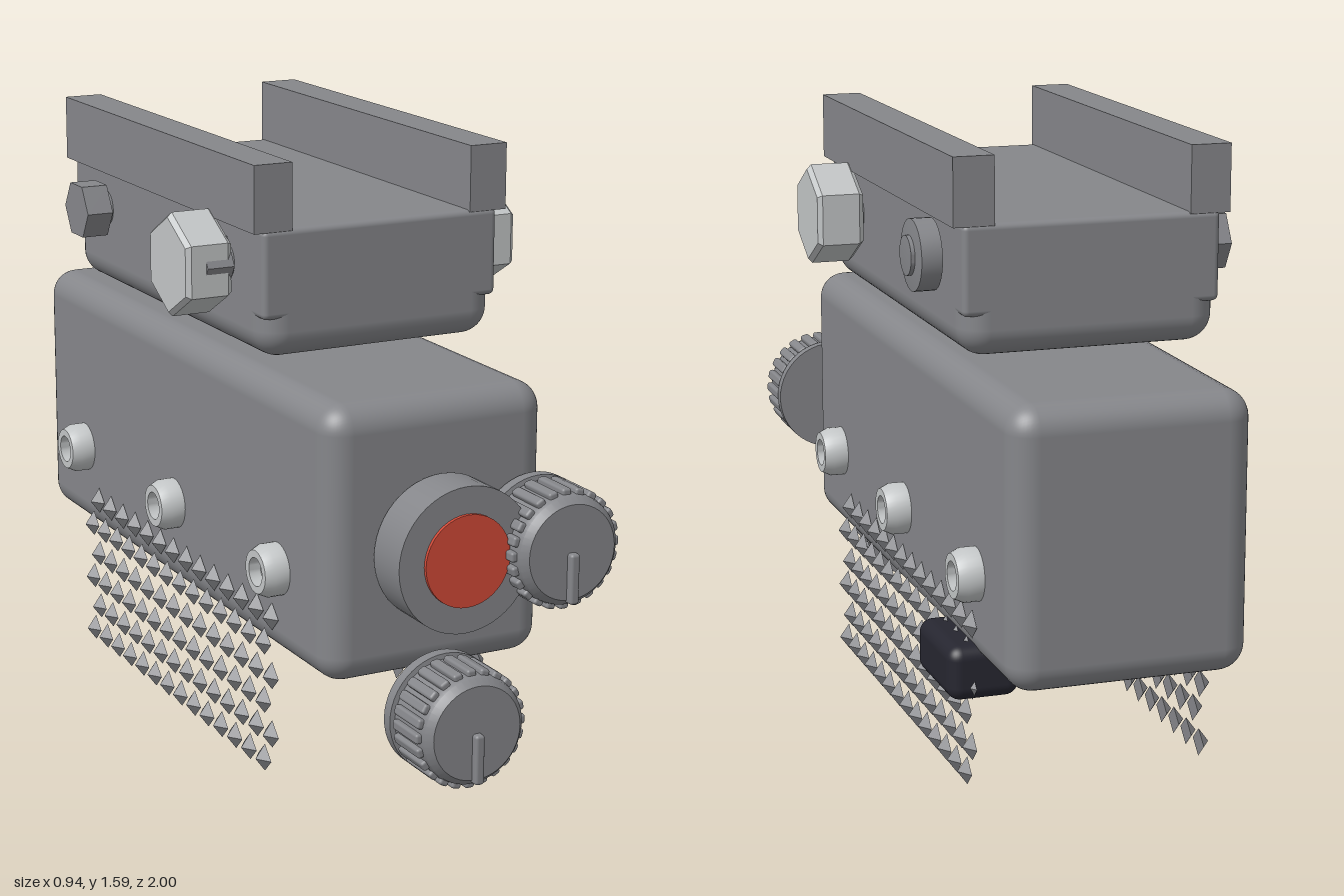
import * as THREE from 'three';
import { toCreasedNormals } from 'three/addons/utils/BufferGeometryUtils.js';
import { RoundedBoxGeometry } from 'three/addons/geometries/RoundedBoxGeometry.js';

const mat = (name, color) => {
  const m = new THREE.MeshStandardMaterial({ color });
  m.name = name;
  return m;
};

export function createModel() {
  const grey = mat('housingGrey', 0x85868a);
  const steel = mat('lightSteel', 0xc2c5c6);
  const red = mat('lensRed', 0xd24a38);
  const dark = mat('padDark', 0x262630);

  const model = new THREE.Group();
  model.name = 'weaponLight';

  const add = (name, geo, material, x = 0, y = 0, z = 0, parent = model) => {
    const mesh = new THREE.Mesh(geo, material);
    mesh.name = name;
    mesh.position.set(x, y, z);
    parent.add(mesh);
    return mesh;
  };
  // Box given by its minimum and maximum corners, optionally rounded
  const block = (name, a, b, material, radius = 0) => {
    const s = a.map((v, i) => b[i] - v);
    const geo = radius ? new RoundedBoxGeometry(...s, 5, radius) : new THREE.BoxGeometry(...s);
    return add(name, geo, material, ...a.map((v, i) => (v + b[i]) / 2));
  };
  // Turned profile of [radius, height] pairs with crisp edges
  const turned = (profile, sides) => toCreasedNormals(
    new THREE.LatheGeometry(profile.map(p => new THREE.Vector2(...p)), sides), 0.5);
  // Turned part whose axis points out of the left (+1) or right (-1) side
  const sidePart = (name, profile, sides, material, side, y, z, turn = 0) => {
    const geo = turned(profile, sides).rotateY(turn).rotateZ(-Math.PI / 2);
    add(name, geo, material, 0, y, z).rotation.y = side > 0 ? 0 : Math.PI;
  };

  // Main housing
  block('housing', [-0.307, 0.335, -1], [0.307, 1.042, 0.78], grey, 0.07);

  // Rail clamp with rounded underside and two top rails
  block('clampBase', [-0.33, 1.095, -0.7], [0.33, 1.32, 0.48], grey, 0.07);
  block('clampTop', [-0.33, 1.2, -0.7], [0.33, 1.425, 0.48], grey, 0.015);
  for (const s of [-1, 1]) {
    const x = s * 0.303;
    block('rail', [x - 0.052, 1.42, -0.7], [x + 0.052, 1.59, 0.48], grey);
  }

  // Front lens and its bezel
  add('bezel', new THREE.CylinderGeometry(0.187, 0.187, 0.125, 48).rotateX(Math.PI / 2),
    grey, 0, 0.665, 0.853);
  add('lens', new THREE.CylinderGeometry(0.118, 0.118, 0.009, 40).rotateX(Math.PI / 2),
    red, 0, 0.665, 0.92);

  // Ribbed control knobs with a raised pointer
  const knobGeo = turned([[0, 0.79], [0.155, 0.79], [0.155, 0.82], [0.142, 0.822],
    [0.142, 0.945], [0.138, 0.962], [0.122, 0.98], [0, 0.98]], 48).rotateX(Math.PI / 2);
  const ribGeo = new RoundedBoxGeometry(0.026, 0.026, 0.122, 2, 0.007);
  for (const [x, y] of [[0.26, 0.665], [0, 0.24]]) {
    const knob = new THREE.Group();
    knob.name = 'knob';
    knob.position.set(x, y, 0);
    model.add(knob);
    add('knobBody', knobGeo, grey, 0, 0, 0, knob);
    for (let i = 0; i < 24; i++) {
      const a = i / 24 * Math.PI * 2;
      add('knobRib', ribGeo, grey, 0.142 * Math.cos(a), 0.142 * Math.sin(a), 0.891, knob)
        .rotation.z = a + Math.PI / 2;
    }
    add('pointer', new RoundedBoxGeometry(0.026, 0.13, 0.035, 2, 0.008), grey,
      0, -0.065, 0.982, knob);
  }

  // Socket screws and large clamp bolts on both sides
  const screw = [[0.068, 0.3], [0.068, 0.345], [0.056, 0.37], [0.037, 0.37], [0.037, 0.338], [0, 0.338]];
  const bolt = [[0, 0.345], [0.121, 0.345], [0.133, 0.358], [0.133, 0.458], [0.121, 0.47], [0, 0.47]];
  for (const s of [-1, 1]) {
    for (const z of [0.51, -0.11, -0.725]) sidePart('socketScrew', screw, 32, steel, s, 0.57, z);
    sidePart('clampBolt', bolt, 6, steel, s, 1.307, 0.225, Math.PI / 6);
    sidePart('boltShaft', [[0.06, 0.3], [0.06, 0.35]], 24, grey, s, 1.307, 0.225);
  }

  // Cross pins: round heads on the left, hex nuts on the right
  const head = [[0.05, 0.32], [0.05, 0.342], [0.09, 0.342], [0.09, 0.395], [0.05, 0.4], [0.05, 0.41], [0, 0.41]];
  const nut = [[0, 0.345], [0.08, 0.345], [0.08, 0.418], [0, 0.418]];
  for (const z of [0.27, -0.487]) {
    sidePart('pinHead', head, 32, grey, 1, 1.32, z);
    sidePart('pinNut', nut, 6, grey, -1, 1.315, z);
    sidePart('pinShaft', [[0.048, 0.3], [0.048, 0.35]], 24, grey, -1, 1.315, z);
  }

  // Pressure pad
  block('pad', [0.19, 0.24, -0.725], [0.375, 0.38, -0.44], dark, 0.035);

  // Pyramid grip studs in staggered rows, turned half round for the other side
  const studGeo = toCreasedNormals(new THREE.ConeGeometry(0.037, 0.027, 4), 0.2).rotateZ(-Math.PI / 2);
  for (const s of [1, -1]) {
    const grip = new THREE.Group();
    grip.name = 'gripStuds';
    grip.position.z = -0.11;
    grip.rotation.y = s > 0 ? 0 : Math.PI;
    model.add(grip);
    for (let row = 0; row < 6; row++) {
      const shift = row % 2 ? -0.0425 : 0;
      for (let i = 0; i < 14; i++) {
        add('stud', studGeo, grey, 0.325, 0.038 + row * 0.0795, (6.5 - i) * 0.085 + shift, grip);
      }
    }
  }
  return model;
}
